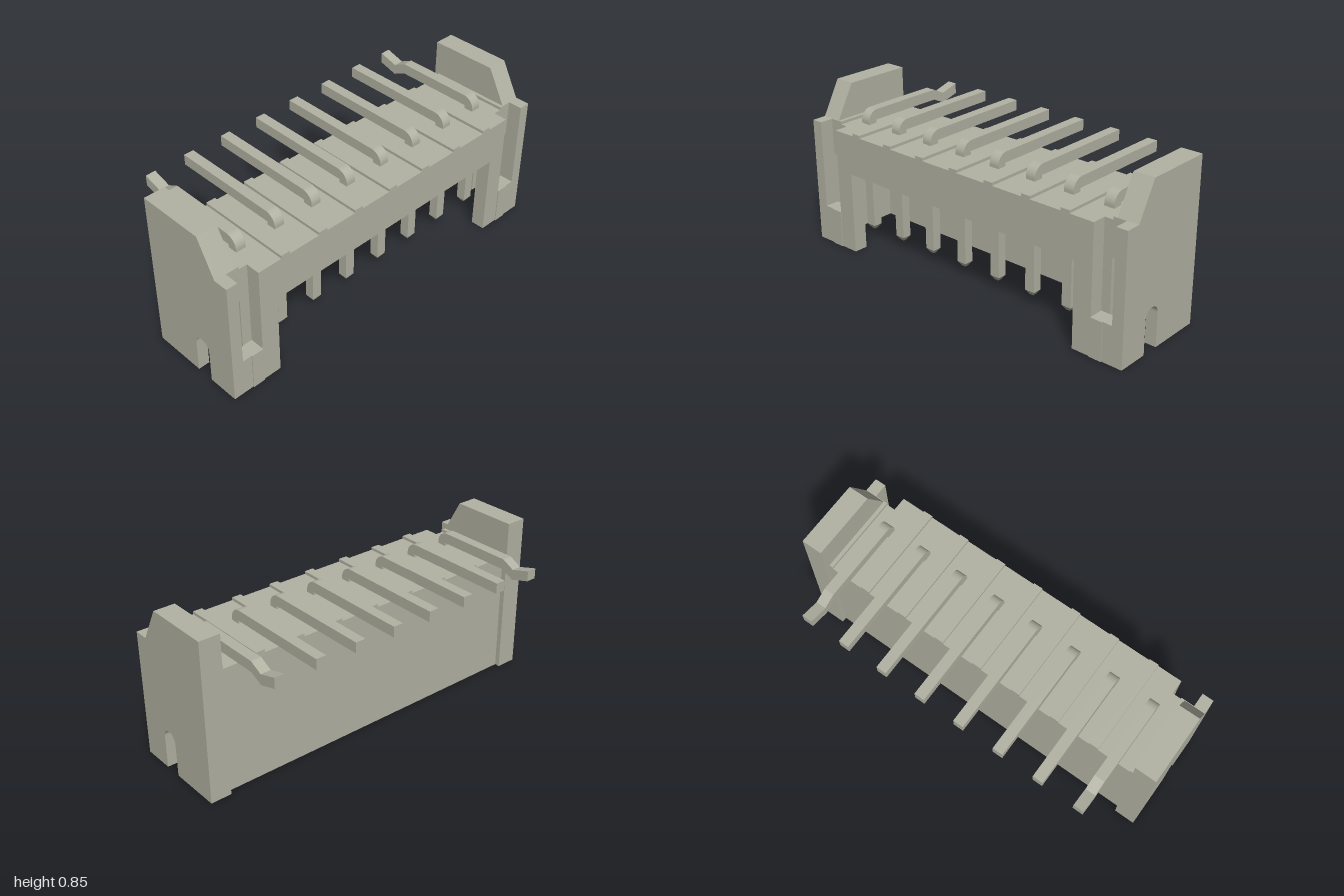
import * as THREE from 'three';

const plastic = new THREE.MeshStandardMaterial({ color: 0xb2b2a3 });
plastic.name = 'warm grey';

export function createModel() {
  const model = new THREE.Group();
  model.name = 'pinHeader';

  const add = (geometry, name) => {
    const mesh = new THREE.Mesh(geometry, plastic);
    mesh.name = name;
    model.add(mesh);
    return mesh;
  };
  // Box given by its limits on each axis
  const box = (name, x0, x1, y0, y1, z0, z1) => {
    const g = new THREE.BoxGeometry(x1 - x0, y1 - y0, z1 - z0);
    g.translate((x0 + x1) / 2, (y0 + y1) / 2, (z0 + z1) / 2);
    return add(g, name);
  };
  const polygon = (pts) => new THREE.Shape(pts.map(([a, b]) => new THREE.Vector2(a, b)));
  // Side profile drawn in (z, y), extruded from x0 to x1
  const sideExtrude = (name, shape, x0, x1) => {
    const g = new THREE.ExtrudeGeometry(shape, { depth: x1 - x0, bevelEnabled: false, curveSegments: 12 });
    g.rotateY(-Math.PI / 2);
    g.translate(x1, 0, 0);
    return add(g, name);
  };

  // Housing: roof and back wall
  box('roof', -0.89, 0.89, 0.475, 0.655, -0.11, 0.325);
  box('backWall', -0.89, 0.89, 0, 0.475, -0.11, -0.05);

  // Front wall with wide opening and two slots open at the top
  const half = [[0.725, 0.44], [0.725, 0], [0.94, 0], [0.94, 0.2], [0.825, 0.2], [0.825, 0.655]];
  const mirrored = half.map(([x, y]) => [-x, y]).reverse();
  const front = new THREE.ExtrudeGeometry(polygon([...half, ...mirrored]), { depth: 0.075, bevelEnabled: false });
  front.translate(0, 0, 0.325);
  add(front, 'frontWall');

  // End plate with round-topped notch at the bottom
  const plate = new THREE.Shape();
  plate.moveTo(-0.137, 0);
  plate.lineTo(0.143, 0);
  plate.lineTo(0.143, 0.179);
  plate.absarc(0.189, 0.179, 0.046, Math.PI, 0, true);
  plate.lineTo(0.235, 0);
  plate.lineTo(0.4, 0);
  plate.lineTo(0.4, 0.67);
  plate.lineTo(0.322, 0.67);
  plate.lineTo(0.222, 0.85);
  plate.lineTo(-0.137, 0.85);
  plate.closePath();

  // Inner half of each end tower, stepping down to a rear column
  const tower = polygon([[-0.137, 0], [-0.05, 0], [-0.05, 0.475], [0.325, 0.475],
    [0.325, 0.67], [0.322, 0.67], [0.222, 0.85], [-0.137, 0.85]]);

  for (const s of [-1, 1]) {
    const span = (a, b) => (s > 0 ? [a, b] : [-b, -a]);
    sideExtrude('endPlate', plate, ...span(0.94, 1));
    sideExtrude('endTower', tower, ...span(0.89, 0.94));
    box('towerLedge', ...span(0.87, 0.89), 0.655, 0.67, -0.11, 0.325);
    box('slotLip', ...span(0.825, 0.89), 0, 0.2, 0.4, 0.405);
  }

  const pitch = 0.2232;
  // Ridges on the roof and ribs inside, between the pins
  for (let i = -3; i <= 3; i++) {
    const x = i * pitch;
    box('roofRidge', x - 0.025, x + 0.025, 0.655, 0.67, -0.11, 0.4);
    box('innerRib', x - 0.022, x + 0.022, 0.255, 0.475, -0.05, -0.01);
  }

  // Bent pins; the outermost two have a kinked tail
  const pinShape = (kinked) => {
    const p = new THREE.Shape();
    p.moveTo(0.185, 0.08);
    p.lineTo(0.235, 0.08);
    p.lineTo(0.235, 0.668);
    p.absarc(0.175, 0.668, 0.06, 0, Math.PI / 2, false);
    if (kinked) {
      p.lineTo(-0.237, 0.728);
      p.lineTo(-0.305, 0.694);
      p.lineTo(-0.405, 0.723);
      p.lineTo(-0.405, 0.668);
      p.lineTo(-0.305, 0.639);
      p.lineTo(-0.237, 0.672);
    } else {
      p.lineTo(-0.405, 0.728);
      p.lineTo(-0.405, 0.672);
    }
    p.lineTo(0.185, 0.672);
    p.closePath();
    return p;
  };
  for (let i = 0; i < 8; i++) {
    const x = (i - 3.5) * pitch;
    sideExtrude('pin', pinShape(i === 0 || i === 7), x - 0.027, x + 0.027);
    // Tapered tip
    const tip = new THREE.CylinderGeometry(Math.SQRT1_2, 0.4 * Math.SQRT1_2, 0.024, 4, 1).toNonIndexed();
    tip.rotateY(Math.PI / 4);
    tip.scale(0.054, 1, 0.05);
    tip.computeVertexNormals();
    tip.translate(x, 0.068, 0.21);
    add(tip, 'pinTip');
  }

  return model;
}
